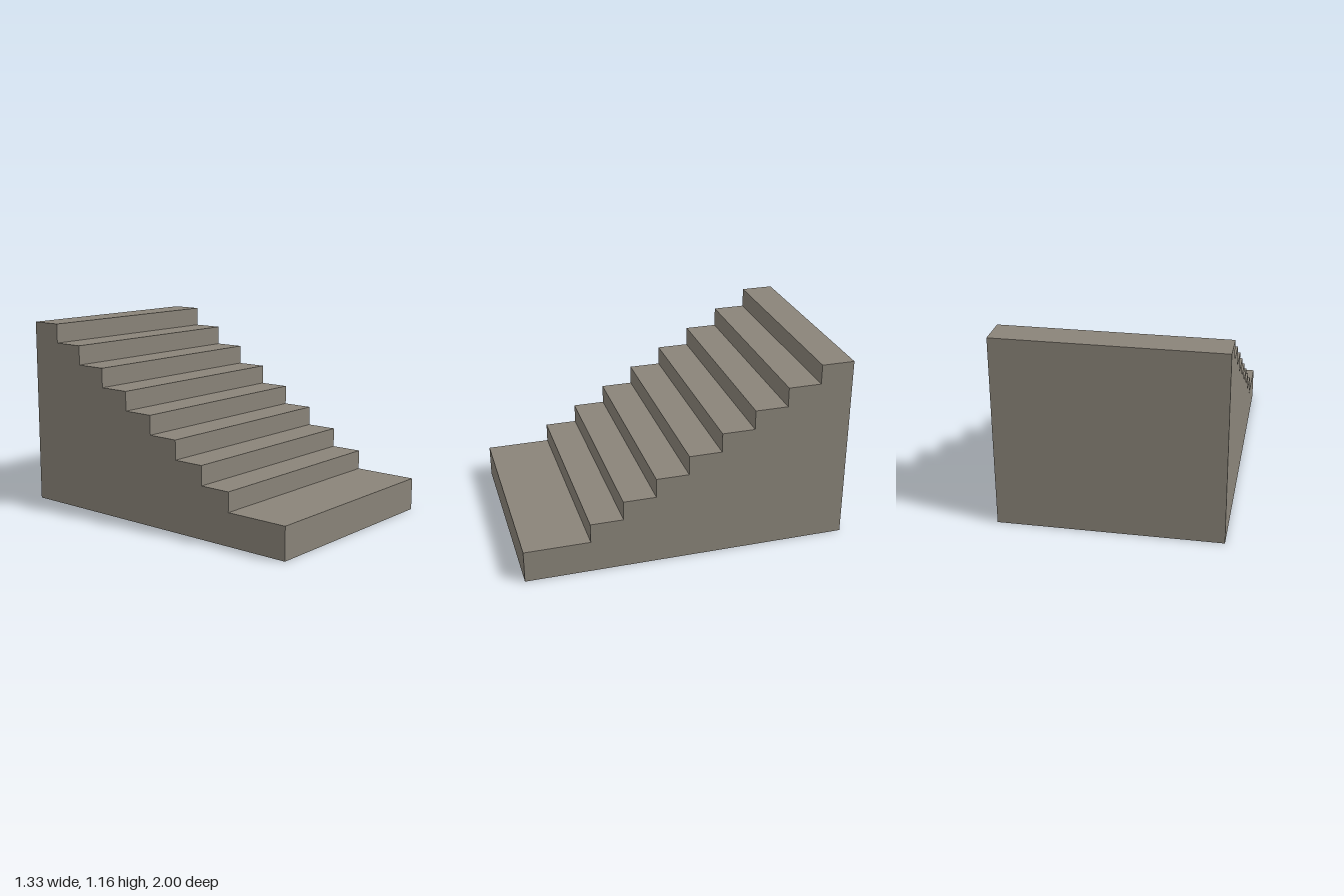
import * as THREE from 'three';

export function createModel() {
  const group = new THREE.Group();
  group.name = 'staircase';

  const stone = new THREE.MeshStandardMaterial({ color: 0x8a8479 });
  stone.name = 'warm grey stone';

  const width = 1.33, baseHeight = 0.2, rise = 0.12, tread = 0.2, steps = 8;

  // Side profile: x runs from back (-1) to front (1)
  const profile = new THREE.Shape();
  profile.moveTo(-1, 0);
  profile.lineTo(1, 0);
  profile.lineTo(1, baseHeight); // deep landing at the foot
  for (let i = 0; i < steps; i++) {
    const z = 0.6 - i * tread;
    profile.lineTo(z, baseHeight + i * rise);
    profile.lineTo(z, baseHeight + (i + 1) * rise);
  }
  profile.lineTo(-1, baseHeight + steps * rise);
  profile.closePath();

  // Solid flight of stairs, extruded across its width
  const geometry = new THREE.ExtrudeGeometry(profile, { depth: width, bevelEnabled: false });
  geometry.translate(0, 0, -width / 2);
  geometry.rotateY(-Math.PI / 2);

  const stairs = new THREE.Mesh(geometry, stone);
  stairs.name = 'stairs';
  group.add(stairs);
  return group;
}
